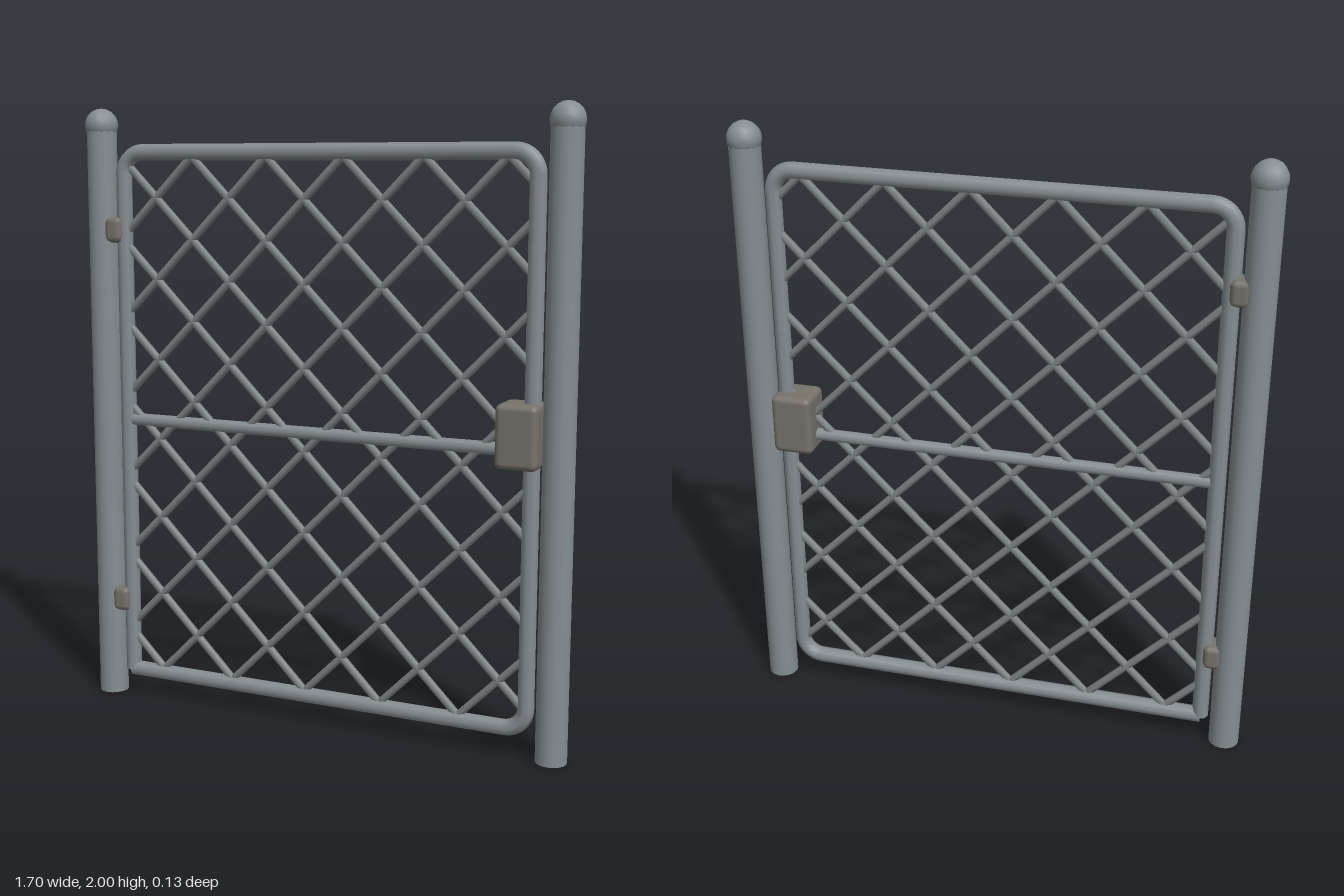
import * as THREE from 'three';
import { RoundedBoxGeometry } from 'three/addons/geometries/RoundedBoxGeometry.js';

export function createModel() {
  const model = new THREE.Group();
  model.name = 'gate';
  const steel = new THREE.MeshStandardMaterial({ color: 0x868e92 });
  const wireSteel = new THREE.MeshStandardMaterial({ color: 0x7c8284 });
  const fittings = new THREE.MeshStandardMaterial({ color: 0x77726a });

  const add = (parent, name, geometry, material, x = 0, y = 0, z = 0) => {
    const mesh = new THREE.Mesh(geometry, material);
    mesh.name = name;
    mesh.position.set(x, y, z);
    parent.add(mesh);
    return mesh;
  };

  // Straight round bar between two points in the plane of the gate
  const bar = (parent, name, x0, y0, x1, y1, radius, sides, material) => {
    const length = Math.hypot(x1 - x0, y1 - y0);
    const mesh = add(parent, name, new THREE.CylinderGeometry(radius, radius, length, sides),
      material, (x0 + x1) / 2, (y0 + y1) / 2);
    mesh.rotation.z = Math.atan2(y1 - y0, x1 - x0) - Math.PI / 2;
    return mesh;
  };

  // Posts with ball caps
  for (const [side, x] of [['right', -0.793], ['left', 0.793]]) {
    bar(model, side + 'Post', x, 0, x, 1.94, 0.05, 16, steel);
    add(model, side + 'PostCap', new THREE.SphereGeometry(0.055, 12, 10), steel, x, 1.945);
  }

  // Tubular frame: three bent corners, butted ends at the lower hinge corner
  const frame = new THREE.Group();
  frame.name = 'frame';
  model.add(frame);
  const X = 0.709, bottom = 0.088, top = 1.857, bend = 0.07, R = 0.027;
  bar(frame, 'hingeRail', -X, bottom, -X, top - bend, R, 8, steel);
  bar(frame, 'topRail', -X + bend, top, X - bend, top, R, 8, steel);
  bar(frame, 'latchRail', X, top - bend, X, bottom + bend, R, 8, steel);
  bar(frame, 'bottomRail', X - bend, bottom, -X, bottom, R, 8, steel);
  const corners = [
    [X - bend, top - bend, 0],
    [-X + bend, top - bend, Math.PI / 2],
    [X - bend, bottom + bend, -Math.PI / 2],
  ];
  for (const [x, y, turn] of corners) {
    const corner = add(frame, 'frameCorner',
      new THREE.TorusGeometry(bend, R, 8, 8, Math.PI / 2), steel, x, y);
    corner.rotation.z = turn;
  }
  bar(frame, 'middleRail', -X, 0.968, X, 0.968, 0.021, 8, steel);

  // Diagonal mesh wires, clipped to the frame
  const mesh = new THREE.Group();
  mesh.name = 'wireMesh';
  model.add(mesh);
  const pitch = 0.268, xMax = 0.7, yMin = 0.095, yMax = 1.85;
  for (const [slope, base] of [[1, 0.689], [-1, -0.485]]) {
    for (let k = -12; k <= 12; k++) {
      const c = base + k * pitch; // y = slope * x + c
      const xa = (yMin - c) * slope, xb = (yMax - c) * slope;
      const x0 = Math.max(-xMax, Math.min(xa, xb));
      const x1 = Math.min(xMax, Math.max(xa, xb));
      if (x1 - x0 < 0.06) continue;
      bar(mesh, 'wire', x0, slope * x0 + c, x1, slope * x1 + c, 0.013, 6, wireSteel);
    }
  }

  // Hinges and latch box
  for (const y of [0.34, 1.604]) {
    add(model, 'hinge', new RoundedBoxGeometry(0.062, 0.085, 0.088, 1, 0.02), fittings, -0.737, y);
  }
  add(model, 'latchBox', new RoundedBoxGeometry(0.134, 0.2, 0.132, 3, 0.02), fittings, 0.675, 1.015);

  return model;
}
